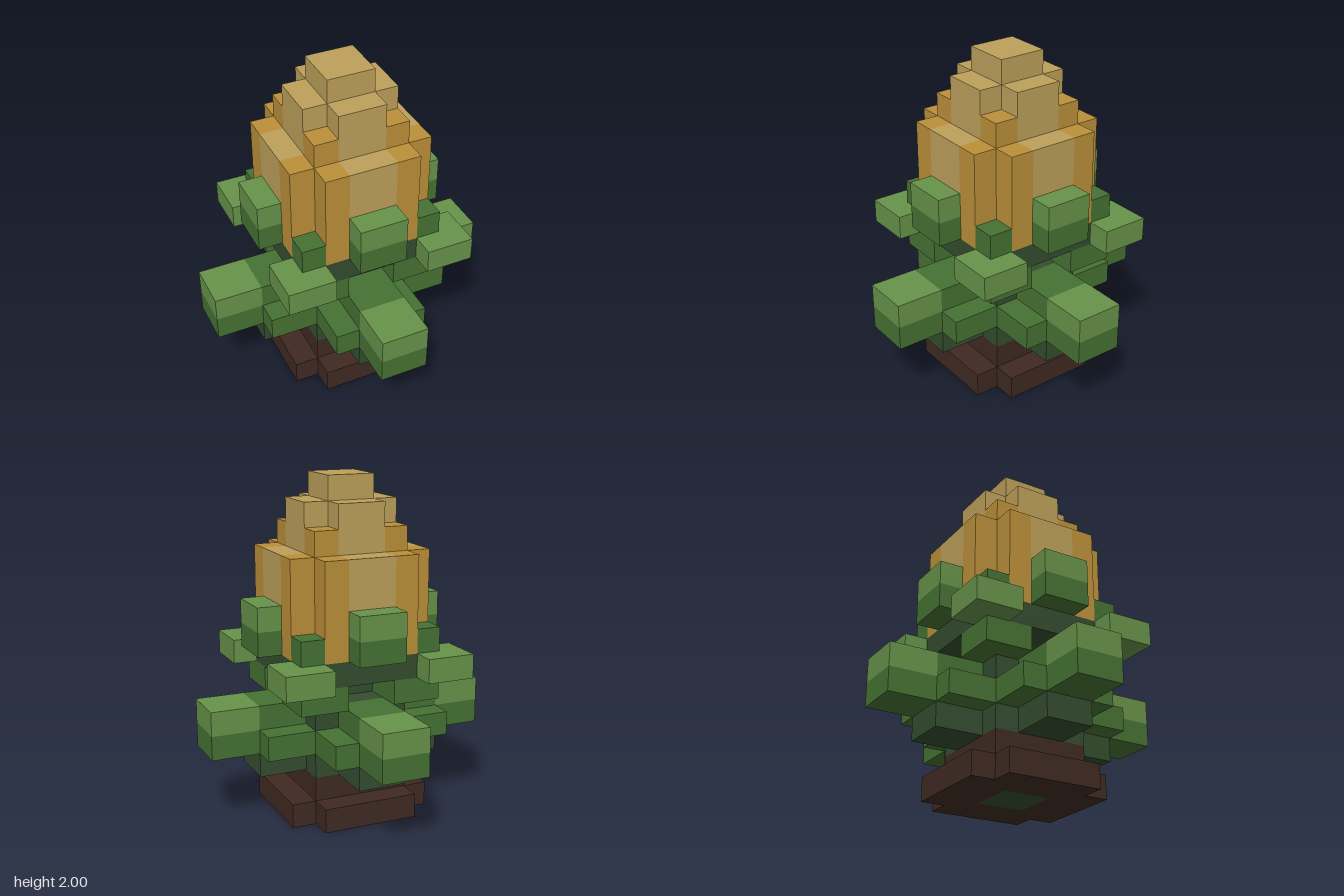
import * as THREE from 'three';

const U = 1 / 7; // edge of one block

const mat = (name, color) => {
  const m = new THREE.MeshStandardMaterial({ color });
  m.name = name;
  return m;
};

export function createModel() {
  const model = new THREE.Group();
  model.name = 'blockyPlant';

  const tan = mat('paleTan', 0xbda05a);
  const gold = mat('gold', 0xbc903a);
  const light = mat('lightGreen', 0x67934a);
  const mid = mat('midGreen', 0x467233);
  const dark = mat('darkGreen', 0x344d2f);
  const brown = mat('soilBrown', 0x402a22);

  // Box between block coordinates on each axis
  const box = (name, material, [x0, x1], [y0, y1], [z0, z1], parent = model) => {
    const geo = new THREE.BoxGeometry((x1 - x0) * U, (y1 - y0) * U, (z1 - z0) * U);
    geo.translate((x0 + x1) * U / 2, (y0 + y1) * U / 2, (z0 + z1) * U / 2);
    const mesh = new THREE.Mesh(geo, material);
    mesh.name = name;
    parent.add(mesh);
  };

  // Square column centred on the axis
  const core = (name, material, r, y) => box(name, material, [-r, r], y, [-r, r]);

  // Same box repeated on all four sides
  const spun = (name, material, x, y, z) => {
    const ring = new THREE.Group();
    ring.name = name + 'Ring';
    for (let i = 0; i < 4; i++) {
      const side = new THREE.Group();
      side.name = name + 'Side';
      side.rotation.y = i * Math.PI / 2;
      box(name, material, x, y, z, side);
      ring.add(side);
    }
    model.add(ring);
  };

  // Soil base with the stem showing through underneath
  spun('soilFoot', brown, [1, 3], [0, 1], [-2, 2]);
  core('soilMound', brown, 2, [1, 2]);
  core('stem', dark, 1, [0, 7]);

  // Lower leaf whorl
  core('leafBase', dark, 2, [2, 3]);
  spun('leafUnderside', dark, [2, 4], [2, 3], [-1, 1]);
  spun('leafBlade', mid, [0, 4], [3, 4], [-2, 2]);
  spun('leafTipLower', mid, [4, 6], [3, 4], [-1, 1]);
  core('leafHeart', dark, 2, [4, 5]);
  spun('leafRidge', mid, [2, 4], [4, 5], [-1, 1]);
  spun('leafTip', light, [4, 6], [4, 5], [-1, 1]);

  // Diagonal upper leaves
  spun('upperLeafStalk', mid, [1, 3], [5, 6], [1, 3]);
  spun('budCup', dark, [0, 3], [6, 7], [-2, 2]);
  spun('upperLeaf', light, [2, 4], [6, 7], [2, 4]);
  spun('upperLeafBud', mid, [2, 3], [7, 8], [2, 3]);

  // Sepals hugging the bud
  spun('sepalLower', mid, [3, 4], [7, 8], [-1, 1]);
  spun('sepalTip', light, [3, 4], [8, 9], [-1, 1]);

  // Bud: pale ribs with gold between them, stepping in to the tip
  spun('budRib', tan, [0, 3], [7, 11], [-1, 1]);
  spun('budPetalA', gold, [1, 3], [7, 11], [1, 2]);
  spun('budPetalB', gold, [1, 2], [7, 11], [1, 3]);
  spun('budShoulder', gold, [1, 2], [11, 12], [1, 2]);
  spun('budUpperRib', tan, [0, 2], [11, 13], [-1, 1]);
  core('budTip', tan, 1, [13, 14]);

  return model;
}
